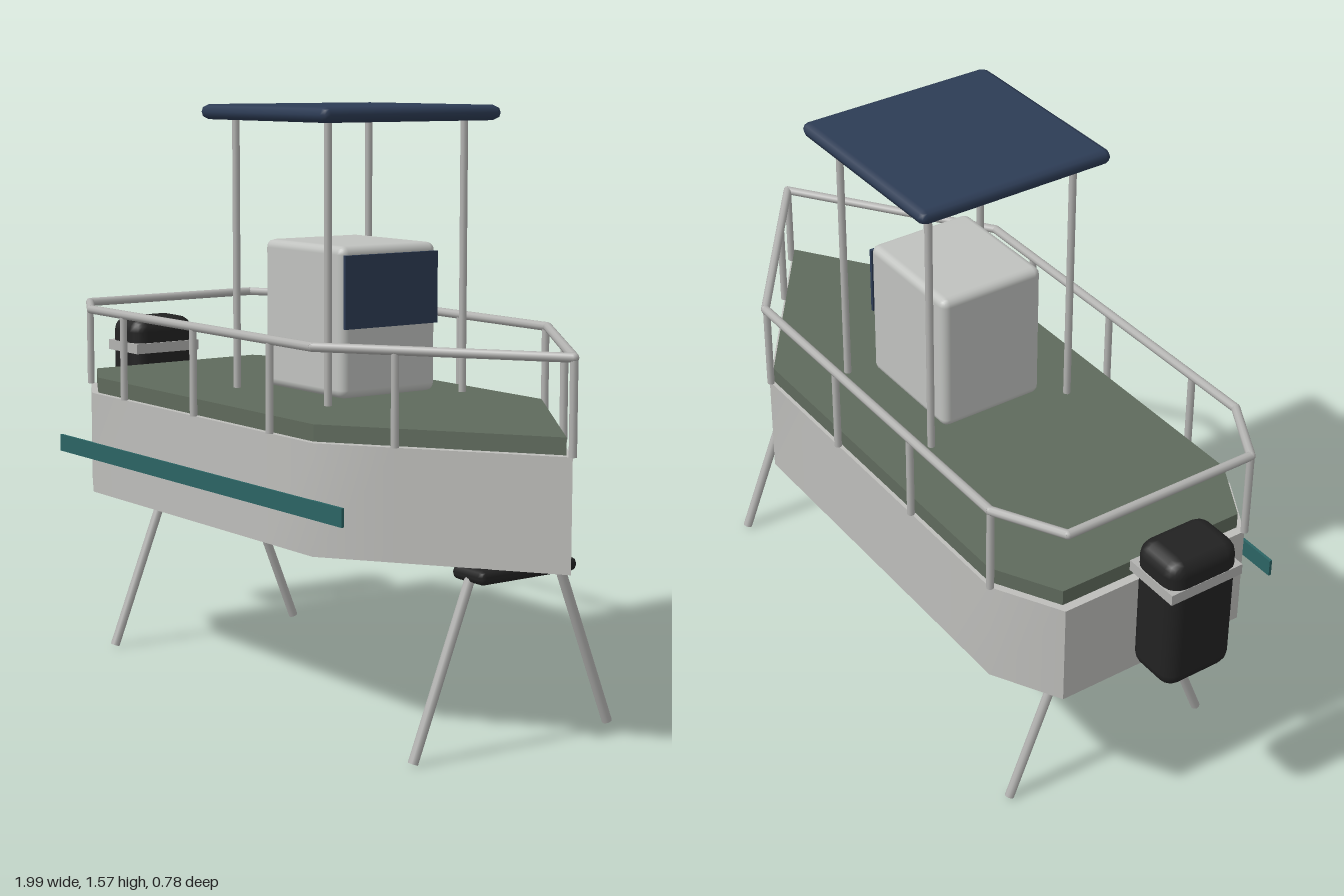
import * as THREE from 'three';
import { toCreasedNormals } from 'three/addons/utils/BufferGeometryUtils.js';
import { RoundedBoxGeometry } from 'three/addons/geometries/RoundedBoxGeometry.js';

const V = (x, y, z) => new THREE.Vector3(x, y, z);

function material(name, color, doubleSided = false) {
  const m = new THREE.MeshStandardMaterial({ color });
  m.name = name;
  if (doubleSided) m.side = THREE.DoubleSide;
  return m;
}

export function createModel() {
  const boat = new THREE.Group();
  boat.name = 'boat';
  const hullGrey = material('hullGrey', 0xbdbdba, true);
  const consoleGrey = material('consoleGrey', 0xc0c2bf);
  const metal = material('metal', 0xb2b2b0);
  const green = material('deckGreen', 0x5f6a5c);
  const navy = material('navy', 0x2d3c55);
  const teal = material('teal', 0x2b6464);
  const black = material('black', 0x222222);

  const add = (name, geometry, mat, x = 0, y = 0, z = 0, parent = boat) => {
    const mesh = new THREE.Mesh(geometry, mat);
    mesh.name = name;
    mesh.position.set(x, y, z);
    parent.add(mesh);
    return mesh;
  };
  const group = (name) => {
    const g = new THREE.Group();
    g.name = name;
    boat.add(g);
    return g;
  };
  // Round bar between two points
  const bar = (name, a, b, radius, parent) => {
    const mesh = add(name, new THREE.CylinderGeometry(radius, radius, a.distanceTo(b), 10), metal, 0, 0, 0, parent);
    mesh.position.copy(a).add(b).multiplyScalar(0.5);
    mesh.quaternion.setFromUnitVectors(V(0, 1, 0), b.clone().sub(a).normalize());
  };

  // Plan of the hull: stern, sides and pointed bow as [x, z]
  const plan = [[-0.81, 0.28], [-0.63, 0.38], [0.45, 0.38], [0.98, 0],
    [0.45, -0.38], [-0.63, -0.38], [-0.81, -0.28]];
  const planShape = (s) => new THREE.Shape(plan.map(([x, z]) =>
    new THREE.Vector2(0.085 + (x - 0.085) * s, z * s)));

  // Hull walls, open underneath, divided along their length for soft shoulders
  const corners = [];
  plan.forEach(([x0, z0], i) => {
    const [x1, z1] = plan[(i + 1) % plan.length];
    const steps = Math.max(1, Math.round(Math.hypot(x1 - x0, z1 - z0) / 0.2));
    for (let k = 0; k < steps; k++) {
      const [ax, az, bx, bz] = [k / steps, (k + 1) / steps].flatMap((t) =>
        [x0 + (x1 - x0) * t, z0 + (z1 - z0) * t]);
      corners.push(ax, 0.465, az, bx, 0.465, bz, bx, 0.75, bz);
      corners.push(ax, 0.465, az, bx, 0.75, bz, ax, 0.75, az);
    }
  });
  const walls = new THREE.BufferGeometry();
  walls.setAttribute('position', new THREE.Float32BufferAttribute(corners, 3));
  add('hullWalls', toCreasedNormals(walls, 0.7), hullGrey);
  add('hullTop', new THREE.ShapeGeometry(planShape(1)).rotateX(Math.PI / 2), hullGrey, 0, 0.75, 0);

  // Deck slab and side stripe
  add('deck', new THREE.ExtrudeGeometry(planShape(0.975), { depth: 0.043, bevelEnabled: false })
    .rotateX(Math.PI / 2), green, 0, 0.795, 0);
  add('sideStripe', new THREE.BoxGeometry(1.39, 0.048, 0.008), teal, -0.115, 0.584, 0.382);

  // Guard rail around the deck
  const railing = group('railing');
  plan.forEach(([x, z], i) => {
    const [nx, nz] = plan[(i + 1) % plan.length];
    bar('topRail', V(x, 0.988, z), V(nx, 0.988, nz), 0.012, railing);
    add('railJoint', new THREE.SphereGeometry(0.012, 10, 8), metal, x, 0.988, z, railing);
  });

  // Rail posts, alternating between the two sides
  const halfWidth = (x) => x > 0.45 ? 0.38 * (0.98 - x) / 0.53
    : x < -0.63 ? 0.28 + 0.1 * (x + 0.81) / 0.18 : 0.38;
  for (let i = 0; i <= 10; i++) {
    const x = -0.81 + i * 0.179;
    const z = halfWidth(x) * (i % 2 ? -1 : 1);
    bar('railPost', V(x, 0.75, z), V(x, 0.988, z), 0.01, railing);
  }

  // Console with a windscreen facing the bow
  add('console', new RoundedBoxGeometry(0.355, 0.395, 0.31, 2, 0.022), consoleGrey, 0.087, 1.013, 0);
  add('windscreen', new THREE.BoxGeometry(0.009, 0.19, 0.3), navy, 0.269, 1.093, 0);

  // Canopy on four poles
  const canopy = group('canopy');
  add('canopyRoof', new RoundedBoxGeometry(0.575, 0.04, 0.575, 1, 0.0199), navy, 0.085, 1.548, 0, canopy);
  for (const x of [-0.125, 0.293]) for (const z of [-0.22, 0.22]) {
    bar('canopyPole', V(x, 0.81, z), V(x, 1.535, z), 0.01, canopy);
  }

  // Outboard motor with its clamp
  const motor = group('motor');
  add('motorBody', new RoundedBoxGeometry(0.158, 0.39, 0.21, 2, 0.042), black, -0.92, 0.727, 0, motor);
  add('motorClamp', new THREE.BoxGeometry(0.165, 0.03, 0.216), metal, -0.9175, 0.834, 0, motor);

  // Two trestles, each a pad with a pair of splayed legs
  for (const x of [-0.633, 0.775]) {
    const stand = group('stand');
    add('standPad', new RoundedBoxGeometry(0.12, 0.037, 0.31, 1, 0.016), black, x, 0.447, 0, stand);
    for (const side of [-1, 1]) {
      bar('standLeg', V(x, 0.445, side * 0.14), V(x, 0.005, side * 0.315), 0.013, stand);
    }
  }
  return boat;
}
